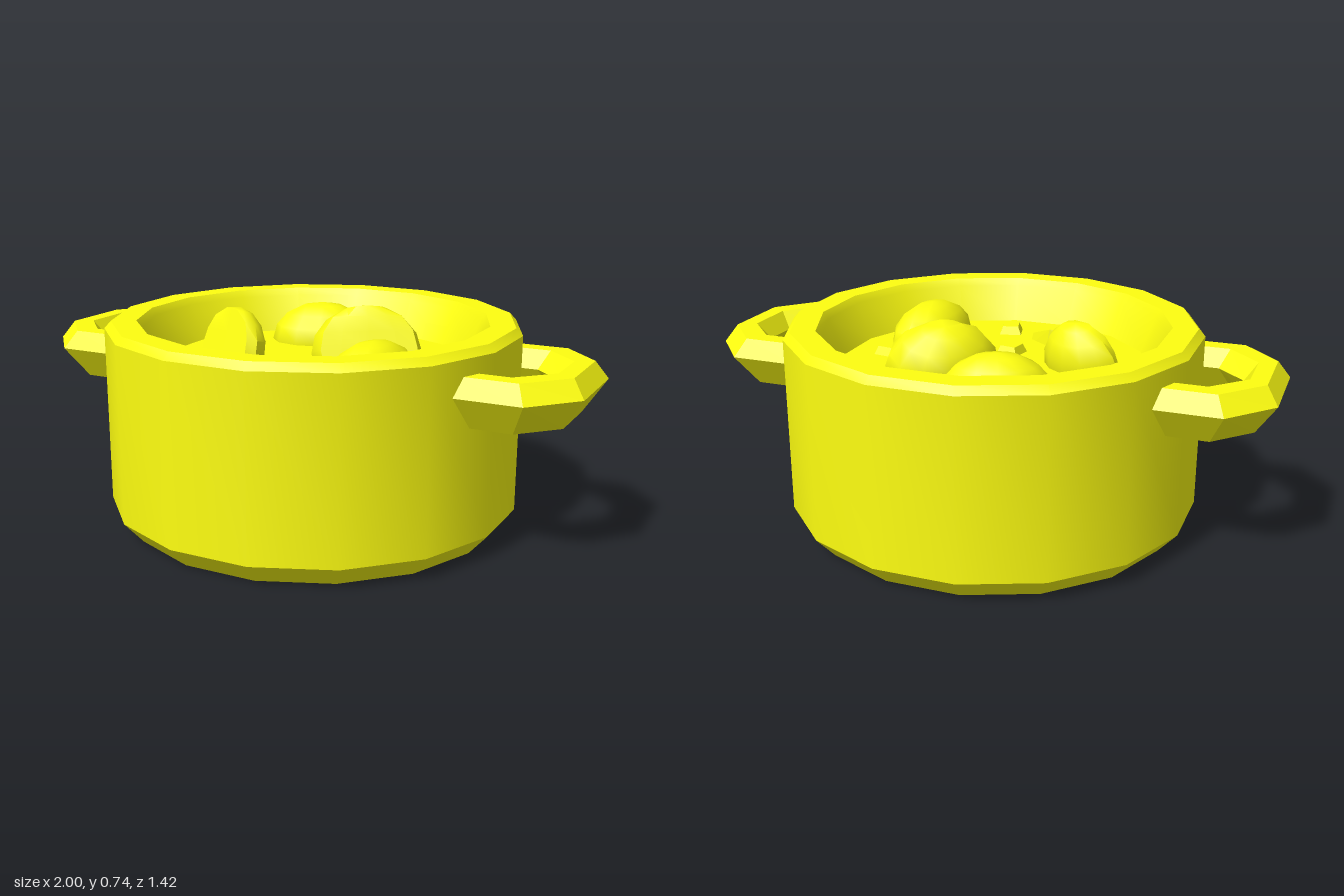
import * as THREE from 'three';
import { toCreasedNormals, mergeVertices } from 'three/addons/utils/BufferGeometryUtils.js';
import { ConvexGeometry } from 'three/addons/geometries/ConvexGeometry.js';

const COLOR = 0xffff10;
const SOUP = 0.56;
const smooth = new THREE.MeshStandardMaterial({ color: COLOR });
const flat = new THREE.MeshStandardMaterial({ color: COLOR, flatShading: true });

function mesh(name, geometry, material, parent) {
  const m = new THREE.Mesh(geometry, material);
  m.name = name;
  parent.add(m);
  return m;
}

// Octagon-cornered handle: a five-sided section swept along a bent path
function handleGeometry() {
  // s runs from the outer edge (0) to the edge of the hole (1)
  const section = [[0, 0.575], [0.29, 0.635], [0.71, 0.635], [1, 0.575], [0.5, 0.465]];
  const rings = [];
  const half = s => [[0.62, 0.315 - 0.15 * s], [0.86 - 0.1 * s, 0.315 - 0.15 * s], [1 - 0.14 * s, 0.155 - 0.09 * s]];
  for (let i = 0; i < 6; i++) {
    rings.push(section.map(([s, y]) => {
      const [x, z] = half(s)[i < 3 ? i : 5 - i];
      return [x, y, i < 3 ? z : -z];
    }));
  }
  const index = [];
  const n = section.length;
  for (let i = 0; i < 5; i++) {
    for (let j = 0; j < n; j++) {
      const a = i * n + j, b = i * n + (j + 1) % n;
      index.push(a, a + n, b, b, a + n, b + n);
    }
  }
  const g = new THREE.BufferGeometry();
  g.setAttribute('position', new THREE.Float32BufferAttribute(rings.flat(2), 3));
  g.setIndex(index);
  g.computeVertexNormals();
  return g;
}

// Rounded chunk of food, optionally sliced flat on its local +z side
function chunk(name, parent, { at, size, yaw, tilt = 0, cut = 1 }) {
  let g = new THREE.SphereGeometry(1, 12, 8);
  const p = g.attributes.position;
  for (let i = 0; i < p.count; i++) {
    const z = p.getZ(i);
    if (z > cut) {
      // push the cap onto the cutting plane, keeping the sliced outline round
      const k = Math.sqrt((1 - cut * cut) / Math.max(1 - cut * cut, 1 - z * z));
      p.setXYZ(i, p.getX(i) * k, p.getY(i) * k, cut);
    }
  }
  g.deleteAttribute('normal');
  g.deleteAttribute('uv');
  g.scale(...size);
  g = toCreasedNormals(mergeVertices(g), 0.75);
  const m = mesh(name, g, smooth, parent);
  m.position.set(...at);
  m.rotation.set(tilt, yaw, 0, 'YXZ');
}

export function createModel() {
  const model = new THREE.Group();
  model.name = 'stewPot';

  // Pot shell with chamfered foot and rim
  const profile = [
    [0, 0], [0.658, 0], [0.725, 0.075], [0.725, 0.69], [0.702, 0.715],
    [0.615, 0.715], [0.598, 0.69], [0.545, SOUP], [0.53, SOUP - 0.03],
  ].map(([x, y]) => new THREE.Vector2(x, y));
  const body = new THREE.LatheGeometry(profile, 16, Math.PI / 16);
  mesh('pot', toCreasedNormals(body, 0.5), smooth, model);

  // Soup surface
  const soup = new THREE.CircleGeometry(0.55, 16, Math.PI / 16);
  soup.rotateX(-Math.PI / 2);
  mesh('soup', soup, smooth, model).position.y = SOUP;

  // Handles
  const handle = handleGeometry();
  mesh('leftHandle', handle, flat, model);
  mesh('rightHandle', handle, flat, model).rotation.y = Math.PI;

  // Food chunks
  const food = new THREE.Group();
  food.name = 'food';
  model.add(food);
  chunk('backPotato', food, { at: [-0.13, -0.32 * -1 * -1 * -1, 0], size: [0.19, 0.14, 0.13], yaw: 0.4, ...{ at: [-0.13, 0.565, -0.32] } });
  chunk('sidePotato', food, { at: [0.32, 0.565, 0.2], size: [0.13, 0.135, 0.205], yaw: -0.12 });
  chunk('slicedPotato', food, { at: [0.14, 0.575, -0.14], size: [0.2, 0.17, 0.15], yaw: 0.6, tilt: -0.4, cut: 0.4 });
  chunk('slicedCarrot', food, { at: [-0.31, 0.57, 0.06], size: [0.155, 0.165, 0.11], yaw: -0.42, tilt: -0.3, cut: 0.3 });

  // Low wedge, mostly sunk in the soup
  const wedge = [
    [-0.24, 0.54, 0.27], [-0.11, 0.54, 0.25], [-0.03, 0.54, 0.31], [-0.12, 0.54, 0.45], [-0.24, 0.54, 0.36],
    [-0.22, 0.62, 0.28], [-0.12, 0.62, 0.26], [-0.04, 0.585, 0.315],
  ].map(v => new THREE.Vector3(...v));
  mesh('wedge', new ConvexGeometry(wedge), flat, food);

  // Small diced pieces: tapered square blocks
  const dice = new THREE.CylinderGeometry(0.041, 0.062, 0.04, 4, 1);
  dice.rotateY(Math.PI / 4);
  [[0.14, -0.42, 0.6], [-0.33, -0.13, 0.2], [0.39, -0.03, -0.15], [-0.02, 0.13, -0.2], [0.07, 0.375, 0.25]]
    .forEach(([x, z, yaw], i) => {
      const m = mesh('dice' + (i + 1), dice, flat, food);
      m.position.set(x, SOUP + 0.01, z);
      m.rotation.y = yaw;
    });

  return model;
}
